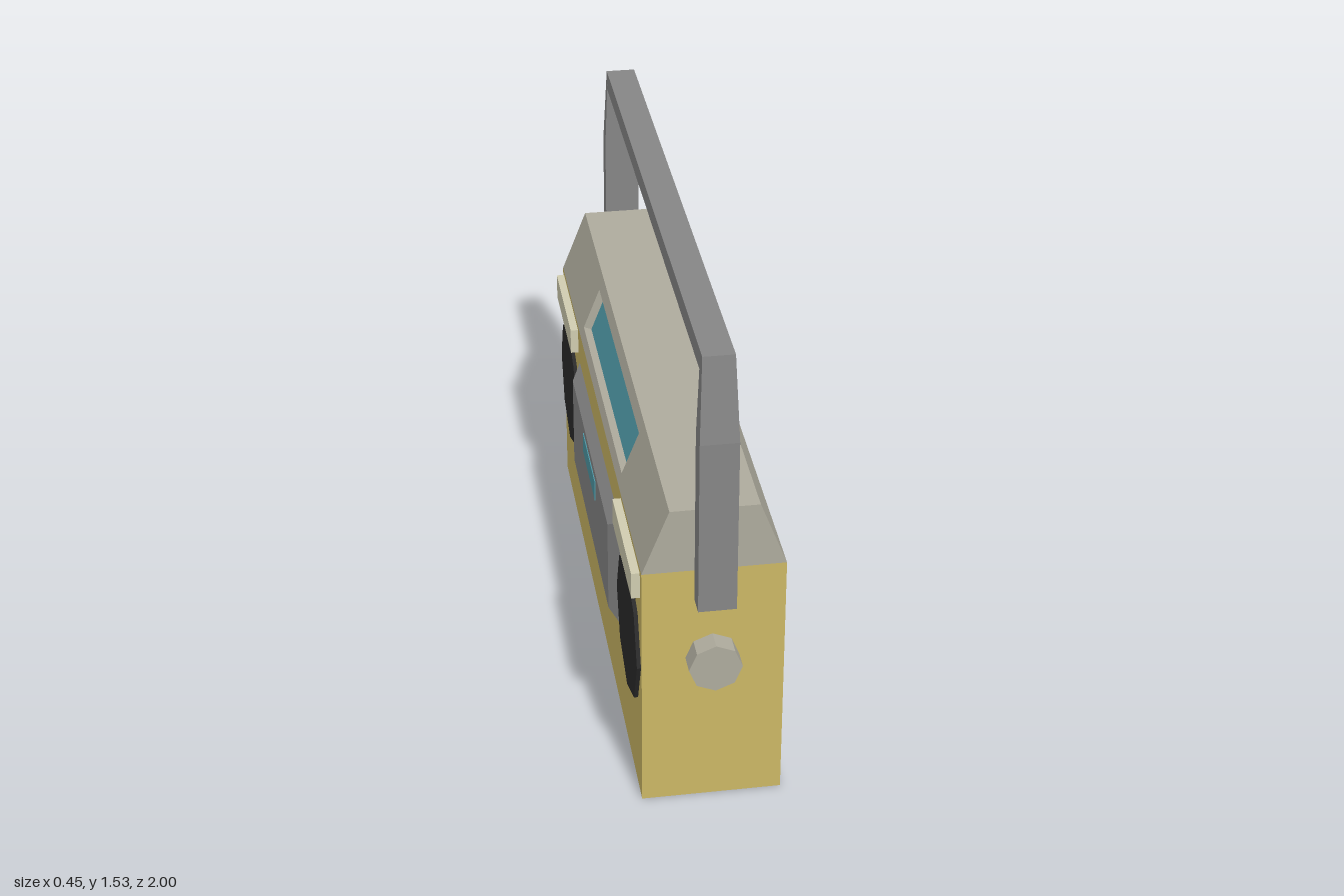
import * as THREE from 'three';

const paint = (name, color) => {
  const m = new THREE.MeshStandardMaterial({ color });
  m.name = name;
  return m;
};

// Block whose two ends along one axis (0=x, 1=y, 2=z) may differ.
// Each end is [position, range of first other axis, range of second other axis].
function taperedBlock(axis, low, high) {
  const geo = new THREE.BoxGeometry(1, 1, 1);
  const pos = geo.attributes.position;
  const others = [0, 1, 2].filter((a) => a !== axis);
  for (let i = 0; i < pos.count; i++) {
    const s = [pos.getX(i) > 0 ? 1 : 0, pos.getY(i) > 0 ? 1 : 0, pos.getZ(i) > 0 ? 1 : 0];
    const end = s[axis] ? high : low;
    const p = [];
    p[axis] = end[0];
    others.forEach((a, k) => { p[a] = end[k + 1][s[a]]; });
    pos.setXYZ(i, ...p);
  }
  geo.computeVertexNormals();
  return geo;
}

const block = (x, y, z) => taperedBlock(1, [y[0], x, z], [y[1], x, z]);

// Profile in x and y, drawn out from z0 to z1
function bar(points, z0, z1) {
  const shape = new THREE.Shape(points.map(([x, y]) => new THREE.Vector2(x, y)));
  return new THREE.ExtrudeGeometry(shape, { depth: z1 - z0, bevelEnabled: false }).translate(0, 0, z0);
}

export function createModel() {
  const model = new THREE.Group();
  model.name = 'portableRadio';

  const mustard = paint('mustard', 0xcbb765);
  const stone = paint('stone', 0xaeab9d);
  const grey = paint('grey', 0x868686);
  const black = paint('black', 0x2a2a2a);
  const cream = paint('cream', 0xd0ccb0);
  const teal = paint('teal', 0x4f98a6);

  const add = (name, geo, mat, parent = model) => {
    const mesh = new THREE.Mesh(geo, mat);
    mesh.name = name;
    parent.add(mesh);
    return mesh;
  };
  const group = (name) => {
    const g = new THREE.Group();
    g.name = name;
    model.add(g);
    return g;
  };

  const zBack = -0.945, zFront = 0.935;
  add('body', block([-0.195, 0.225], [0, 0.815], [zBack, zFront]), mustard);

  // Sloping top, with a recess for the tuning dial in its middle stretch
  const top = group('top');
  const plain = [[-0.195, 0.815], [0.225, 0.815], [0.145, 1.02], [-0.115, 1.02]];
  const recess = [[-0.13, 0.982], [-0.103, 0.9715], [-0.156, 0.8355], [-0.183, 0.846]];
  const dialZ = [-0.46, 0.445];
  add('topBack', bar(plain, zBack, dialZ[0]), stone, top);
  add('topMiddle', bar([...plain, ...recess], ...dialZ), stone, top);
  add('topFront', bar(plain, dialZ[1], zFront), stone, top);
  const glass = [[-0.156, 0.8355], [-0.103, 0.9715], [-0.105, 0.9722], [-0.158, 0.8362]];
  add('tuningDial', bar(glass, ...dialZ), teal);

  // Carrying handle: two legs that narrow upward and a grip between them
  const handle = group('handle');
  const wide = [-0.042, 0.07], narrow = [-0.032, 0.06], gripWide = [-0.034, 0.062];
  for (const [name, inner, outer, outerTop] of [
    ['front', zFront, 1, 0.967],
    ['back', zBack, -1, -0.967],
  ]) {
    const span = (a, b) => [Math.min(a, b), Math.max(a, b)];
    add(name + 'LegLower', taperedBlock(1, [0.715, wide, span(inner, outer)], [1.27, wide, span(inner, outer)]), grey, handle);
    add(name + 'LegUpper', taperedBlock(1, [1.27, wide, span(inner, outer)], [1.53, narrow, span(inner, outerTop)]), grey, handle);
  }
  add('grip', taperedBlock(1, [1.475, gripWide, [zBack, zFront]], [1.53, narrow, [zBack, zFront]]), grey, handle);

  // Eight-sided volume knob on the end
  const knob = add('knob', new THREE.CylinderGeometry(0.079, 0.079, 0.066, 8).toNonIndexed(), stone);
  knob.geometry.rotateX(Math.PI / 2);
  knob.geometry.computeVertexNormals();
  knob.position.set(0.012, 0.51, 0.967);

  // Speakers with a control strip above each
  for (const [name, z, stripZ] of [
    ['front', 0.706, [0.51, 0.905]],
    ['back', -0.728, [-0.92, -0.525]],
  ]) {
    const geo = new THREE.CylinderGeometry(0.215, 0.215, 0.012, 8).toNonIndexed();
    geo.rotateZ(Math.PI / 2);
    geo.computeVertexNormals();
    add(name + 'Speaker', geo, black).position.set(-0.201, 0.475, z);
    add(name + 'ControlStrip', block([-0.22, -0.195], [0.715, 0.8], stripZ), cream);
  }

  // Bevelled tape door with a small window
  add('tapeDoor', taperedBlock(0,
    [-0.226, [0.35, 0.658], [-0.437, 0.432]],
    [-0.195, [0.32, 0.695], [-0.49, 0.485]]), grey);
  add('tapeWindow', block([-0.229, -0.226], [0.56, 0.63], [-0.149, 0.145]), teal);

  return model;
}
